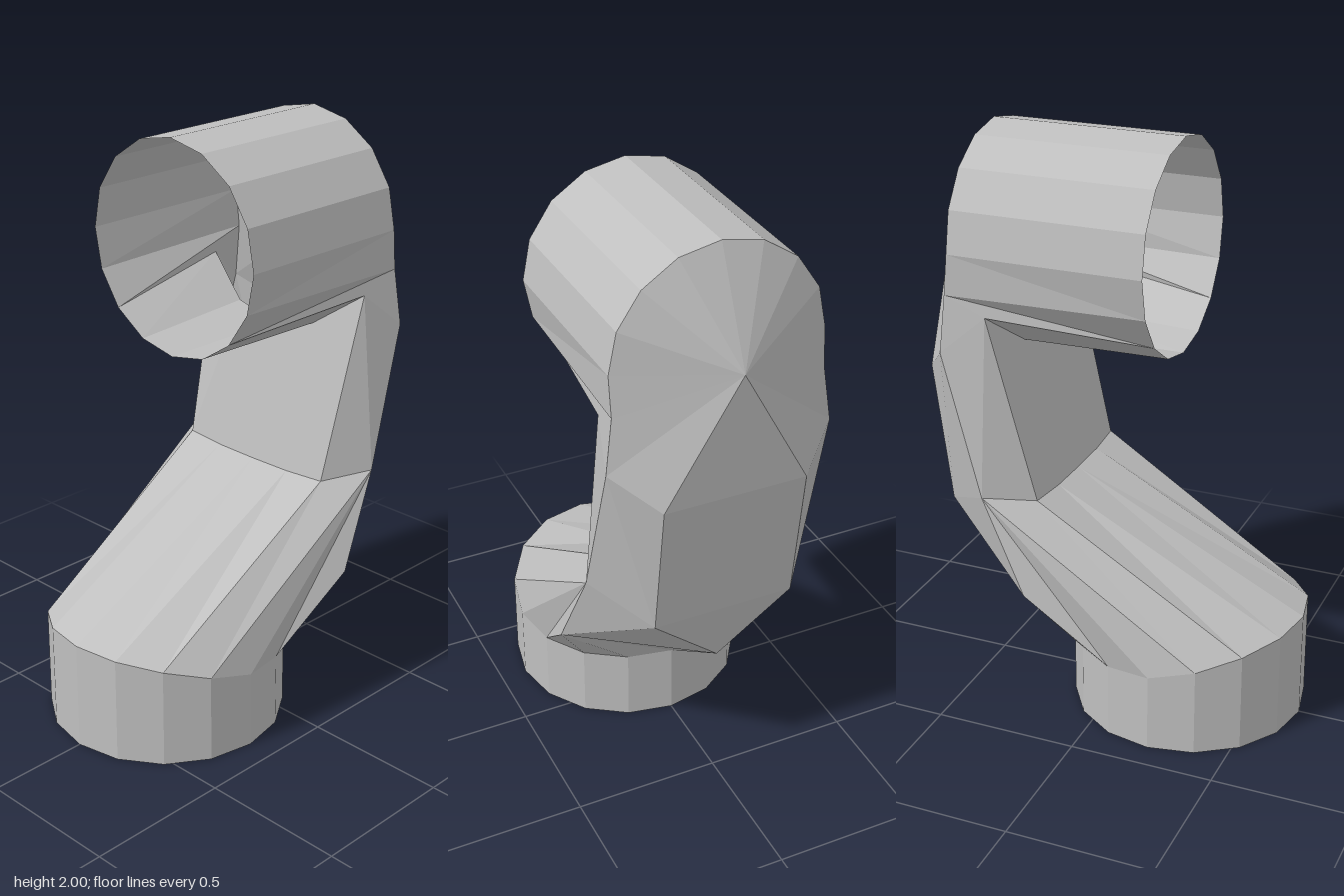
import * as THREE from 'three';

const painted = new THREE.MeshStandardMaterial({ color: 0xbfbfbf, side: THREE.DoubleSide, flatShading: true });
painted.name = 'paintedGrey';

// Skin between two half loops (front to back on the +x side), mirrored to -x
function mirroredSkin(name, strips) {
  const pos = [];
  const tri = (a, b, c) => {
    if (a === b || b === c || a === c) return;
    pos.push(...a, ...b, ...c);
    for (const p of [a, c, b]) pos.push(-p[0], p[1], p[2]);
  };
  for (const [lower, upper] of strips) {
    for (let i = 0; i < lower.length - 1; i++) {
      tri(lower[i], lower[i + 1], upper[i]);
      tri(lower[i + 1], upper[i + 1], upper[i]);
    }
  }
  const g = new THREE.BufferGeometry();
  g.setAttribute('position', new THREE.Float32BufferAttribute(pos, 3));
  g.computeVertexNormals();
  const mesh = new THREE.Mesh(g, painted);
  mesh.name = name;
  return mesh;
}

const half = (f) => Array.from({ length: 9 }, (_, k) => f(Math.sin(k * Math.PI / 8), Math.cos(k * Math.PI / 8), k));

export function createModel() {
  const group = new THREE.Group();
  group.name = 'bentPipe';

  // Base collar: open tube whose top edge rises to the front
  const collarTop = [0.38, 0.373, 0.35, 0.31, 0.272, 0.262, 0.26, 0.26, 0.26];
  const foot = half((s, c) => [0.407 * s, 0, 0.237 + 0.407 * c]);
  const collar = half((s, c, k) => [0.407 * s, collarTop[k], 0.237 + 0.407 * c]);

  // Elbow points behind the collar
  const elbowSide = [0.43, 0.5, -0.2], elbowBack = [0, 0.5, -0.51];

  // Loops at the bottom and top of the neck, front to back
  const low = [[0, 0.793, -0.19], [0.16, 0.795, -0.19], [0.31, 0.8, -0.2], [0.4, 0.82, -0.36], [0.245, 0.72, -0.55], [0, 0.72, -0.55]];
  const high = [[0, 1.275, -0.29], [0.17, 1.31, -0.3], [0.345, 1.435, -0.355], [0.385, 1.31, -0.5], [0.245, 1.2, -0.612], [0, 1.2, -0.612]];

  // Mouth tube, bottom to top, and the point of its back cap
  const mouth = half((s, c) => [0.362 * s, 1.638 - 0.362 * c, 0.195]);
  const joint = [0.36, 1.5, -0.49];
  const rear = half((s, c) => [0.362 * s, 1.638 - 0.362 * c, -0.475]);
  const tubeBack = [high[0], high[1], high[2], joint, ...rear.slice(4)];
  const apex = [0, 1.64, -0.642];
  const cap = tubeBack.slice(3);

  group.add(
    mirroredSkin('baseCollar', [[foot, collar]]),
    mirroredSkin('elbow', [
      [collar.slice(0, 6), [low[0], low[1], low[2], low[3], low[3], elbowSide]],
      [collar.slice(5), [elbowSide, elbowSide, elbowSide, elbowBack]],
      [[elbowSide, elbowSide, elbowBack, elbowBack], [low[3], low[4], low[4], low[5]]],
    ]),
    mirroredSkin('neck', [[low, high]]),
    mirroredSkin('mouthTube', [[tubeBack, mouth]]),
    mirroredSkin('backCap', [
      [high.slice(2), [joint, apex, apex, apex]],
      [cap.map(() => apex), cap],
    ]),
  );
  return group;
}
